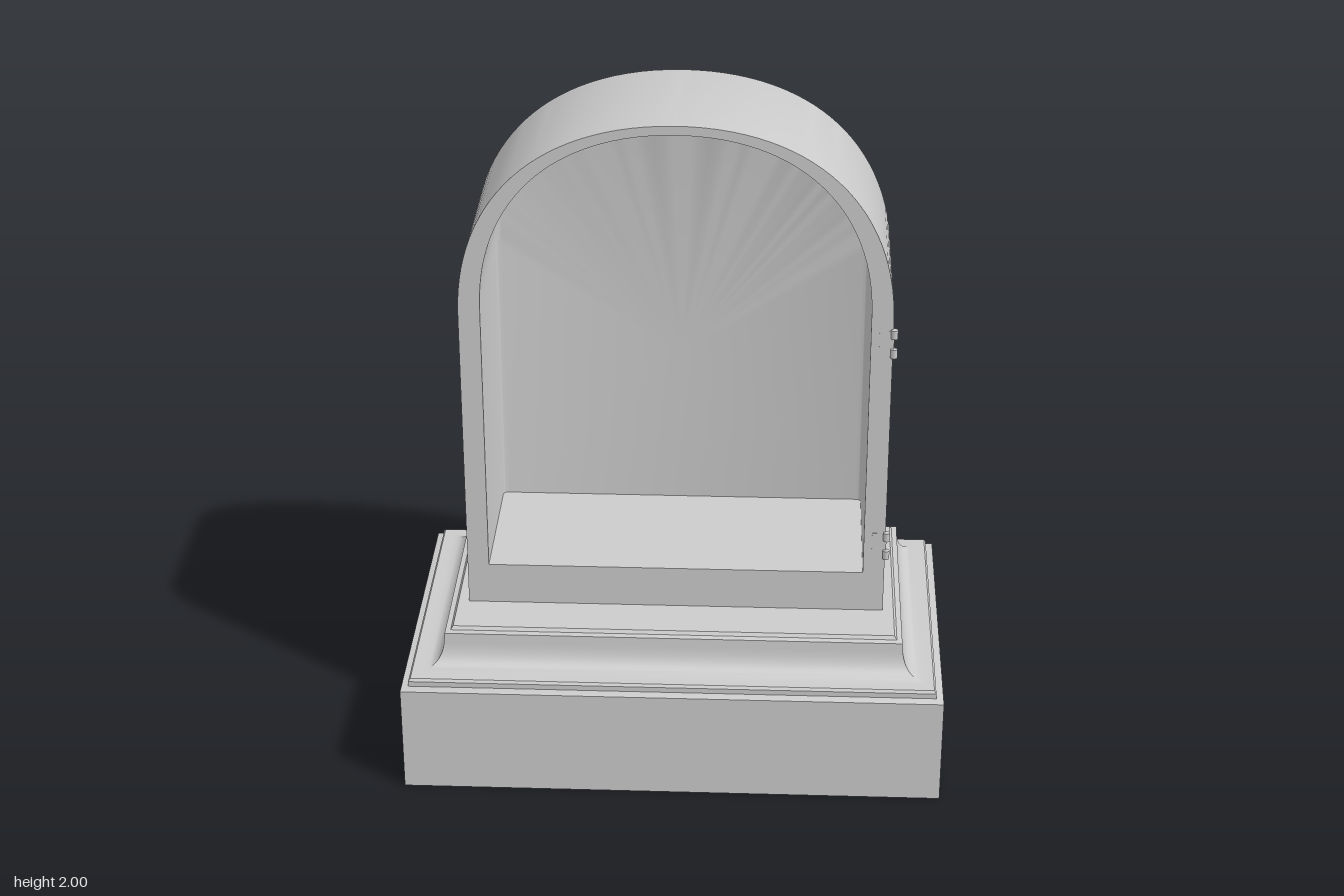
import * as THREE from 'three';
import { toCreasedNormals } from 'three/addons/utils/BufferGeometryUtils.js';

const material = new THREE.MeshStandardMaterial({ color: 0xcccccc });

// Skin a list of closed rings (equal point counts); zero-area triangles are skipped.
function loft(rings, crease = 0.6) {
  const out = [];
  const tri = (a, b, c) => {
    if (a.distanceTo(b) < 1e-6 || b.distanceTo(c) < 1e-6 || c.distanceTo(a) < 1e-6) return;
    for (const p of [a, b, c]) out.push(p.x, p.y, p.z);
  };
  for (let r = 0; r + 1 < rings.length; r++) {
    const a = rings[r], b = rings[r + 1], n = a.length;
    for (let i = 0; i < n; i++) {
      const j = (i + 1) % n;
      tri(a[i], a[j], b[j]);
      tri(a[i], b[j], b[i]);
    }
  }
  const g = new THREE.BufferGeometry();
  g.setAttribute('position', new THREE.Float32BufferAttribute(out, 3));
  return toCreasedNormals(g, crease);
}

// Arched outline at depth z, anticlockwise seen from the front.
function archRing(w, bottom, spring, top, z) {
  const pts = [new THREE.Vector3(-w, bottom, z), new THREE.Vector3(w, bottom, z)];
  const h = top - spring;
  const curve = new THREE.CubicBezierCurve(
    new THREE.Vector2(w, spring), new THREE.Vector2(w, spring + h * 0.6),
    new THREE.Vector2(w * 0.63, top), new THREE.Vector2(0, top));
  const half = curve.getPoints(28);
  for (const p of half) pts.push(new THREE.Vector3(p.x, p.y, z));
  for (const p of half.slice(0, -1).reverse()) pts.push(new THREE.Vector3(-p.x, p.y, z));
  return pts;
}

const pointRing = (ring, x, y, z) => ring.map(() => new THREE.Vector3(x, y, z));

// Hollow case: rounded back edge, flat front rim, cavity with a small fillet at the back.
function caseGeometry() {
  const outer = (inset, z) => archRing(0.618 - inset, 0.465, 1.42, 2 - inset, z);
  const inner = (inset, z) => archRing(0.555 - inset, 0.6, 1.44, 1.973 - inset, z);
  const rings = [];
  const steps = 6, r = 0.025;
  for (let i = 0; i <= steps; i++) {
    const a = (i / steps) * Math.PI / 2;
    rings.push(outer(r * (1 - Math.sin(a)), -0.287 + r * (1 - Math.cos(a))));
  }
  rings.unshift(pointRing(rings[0], 0, 1.1, -0.287));
  rings.push(outer(0, 0.182), inner(0, 0.182));
  const f = 0.015;
  for (let i = 0; i <= steps; i++) {
    const a = (i / steps) * Math.PI / 2;
    rings.push(inner(f * (1 - Math.cos(a)), -0.265 + f * (1 - Math.sin(a))));
  }
  rings.push(pointRing(rings[0], 0, 1.1, -0.265));
  return loft(rings);
}

// Rectangular plinth swept from a moulding profile of [inset, height].
function plinthGeometry() {
  const cove = new THREE.CubicBezierCurve(
    new THREE.Vector2(0.058, 0.36), new THREE.Vector2(0.1, 0.362),
    new THREE.Vector2(0.117, 0.39), new THREE.Vector2(0.12, 0.435)).getPoints(10);
  const profile = [
    [0, 0], [0, 0.33], [0.022, 0.336], [0.022, 0.352], [0.028, 0.36],
    ...cove.map(p => [p.x, p.y]),
    [0.122, 0.459], [0.138, 0.462], [0.145, 0.472],
  ];
  const rings = profile.map(([inset, y]) => {
    const w = 0.795 - inset, d = 0.47 - inset;
    return [[w, d], [w, -d], [-w, -d], [-w, d]].map(([x, z]) => new THREE.Vector3(x, y, z));
  });
  rings.unshift(pointRing(rings[0], 0, 0, 0));
  rings.push(pointRing(rings[0], 0, 0.472, 0));
  return loft(rings);
}

export function createModel() {
  const model = new THREE.Group();
  model.name = 'archedCase';

  const add = (parent, name, geometry, x = 0, y = 0, z = 0) => {
    const mesh = new THREE.Mesh(geometry, material);
    mesh.name = name;
    mesh.position.set(x, y, z);
    parent.add(mesh);
  };

  add(model, 'plinth', plinthGeometry());
  add(model, 'caseBody', caseGeometry());

  // Two door hinges on the front left edge: a thin leaf and two knuckles each.
  const leaf = new THREE.BoxGeometry(0.042, 0.078, 0.004);
  const knuckle = new THREE.CylinderGeometry(0.01, 0.01, 0.027, 16);
  for (const [name, y] of [['upperHinge', 1.354], ['lowerHinge', 0.696]]) {
    const hinge = new THREE.Group();
    hinge.name = name;
    hinge.position.set(0.621, y, 0.184);
    add(hinge, 'hingeLeaf', leaf, -0.021, 0, -0.002);
    for (const side of [-1, 1]) add(hinge, 'hingeKnuckle', knuckle, 0, side * 0.03, 0.001);
    model.add(hinge);
  }
  return model;
}
